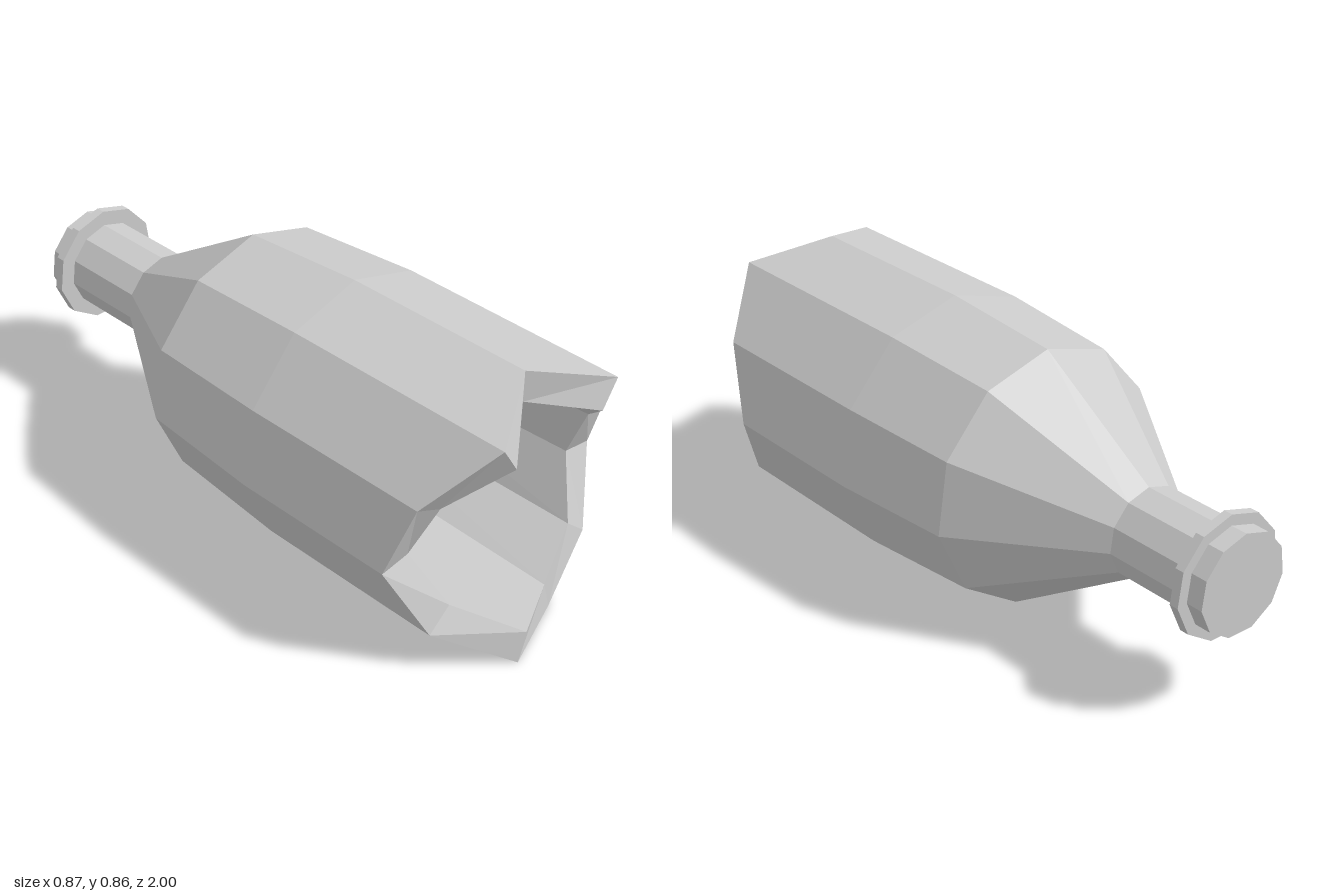
import * as THREE from 'three';

const SIDES = 11;
const CENTER_Y = 0.42;

// z of the jagged break at each corner, starting at the top and going towards -x
const BREAK = [0.85, 0.99, 0.845, 0.76, 0.85, 1.0, 0.905, 0.85, 0.76, 0.845, 0.98];

const material = new THREE.MeshStandardMaterial({ color: 0xcccccc, flatShading: true });

// Corner k of a ring; z is a number or a list with one value per corner
function corner([r, z], k) {
  const i = k % SIDES;
  const a = Math.PI / 2 + (i / SIDES) * Math.PI * 2;
  return [r * Math.cos(a), CENTER_Y + r * Math.sin(a), Array.isArray(z) ? z[i] : z];
}

// Faceted skin through rings of [radius, z]; a radius of 0 closes an end
function loft(name, rings) {
  const pos = [];
  for (let j = 0; j < rings.length - 1; j++) {
    const [a, b] = [rings[j], rings[j + 1]];
    for (let k = 0; k < SIDES; k++) {
      const a0 = corner(a, k), a1 = corner(a, k + 1);
      const b0 = corner(b, k), b1 = corner(b, k + 1);
      if (a[0] > 0) pos.push(...a0, ...b0, ...a1);
      if (b[0] > 0) pos.push(...a1, ...b0, ...b1);
    }
  }
  const geometry = new THREE.BufferGeometry();
  geometry.setAttribute('position', new THREE.Float32BufferAttribute(pos, 3));
  geometry.computeVertexNormals();
  const mesh = new THREE.Mesh(geometry, material);
  mesh.name = name;
  return mesh;
}

export function createModel() {
  const bottle = new THREE.Group();
  bottle.name = 'brokenBottle';
  bottle.add(
    // hollow inside, from its flat floor out to the break
    loft('interior', [[0, -0.2], [0.292, -0.2], [0.337, BREAK]]),
    // thickness of the broken wall
    loft('brokenEdge', [[0.337, BREAK], [0.437, BREAK]]),
    // outer wall and shoulder
    loft('body', [[0.437, BREAK], [0.437, 0.22], [0.408, -0.2], [0.141, -0.63]]),
    loft('neck', [[0.141, -0.63], [0.141, -0.915]]),
    loft('collar', [[0.141, -0.915], [0.191, -0.915], [0.191, -0.945], [0.157, -0.945]]),
    loft('lip', [[0.157, -0.945], [0.157, -1], [0, -1]])
  );
  return bottle;
}
